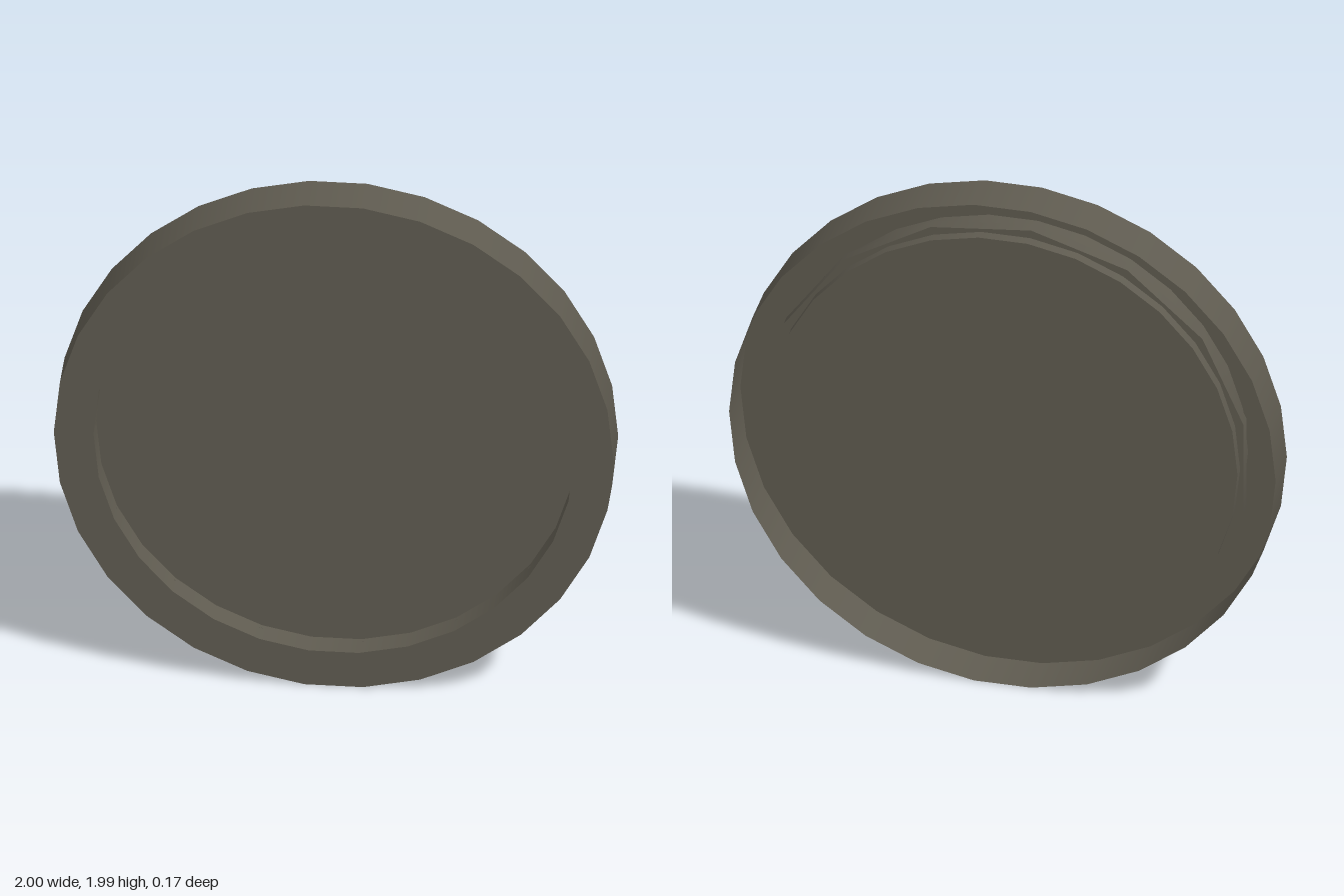
import * as THREE from 'three';

export function createModel() {
  const group = new THREE.Group();
  const metal = new THREE.MeshStandardMaterial({ color: 0x5f5b50, side: THREE.DoubleSide });
  metal.name = 'dark olive metal';

  const centreY = 0.995;

  // One straight profile edge [radius, z] -> [radius, z], spun about the z axis
  function spin(name, from, to, sides = 30) {
    const profile = [new THREE.Vector2(...from), new THREE.Vector2(...to)];
    const geometry = new THREE.LatheGeometry(profile, sides, Math.PI / 2);
    geometry.rotateX(Math.PI / 2);
    const mesh = new THREE.Mesh(geometry, metal);
    mesh.name = name;
    mesh.position.y = centreY;
    group.add(mesh);
  }

  const half = 0.085;    // half of the lid's thickness
  const inner = 0.858;   // radius of the recessed panel
  const panelFront = -0.01, panelBack = -0.075;

  // Skirt, open at the back, and the flat front rim
  spin('outerSkirt', [1, -half], [1, half]);
  spin('frontRim', [1, half], [inner, half]);

  // Recess wall running through to the back of the panel
  spin('recessWall', [inner, panelBack], [inner, half]);

  // Solid recessed panel
  spin('panelFront', [inner, panelFront], [0, panelFront]);
  spin('panelBack', [0, panelBack], [inner, panelBack]);

  // Coarser collar hugging the panel inside the skirt
  const collar = 0.89, collarBack = -0.035, collarFront = 0.01;
  spin('collarBack', [0.84, collarBack], [collar, collarBack], 15);
  spin('collarSide', [collar, collarBack], [collar, collarFront], 15);
  spin('collarFront', [collar, collarFront], [inner + 0.018, collarFront], 15);

  return group;
}
